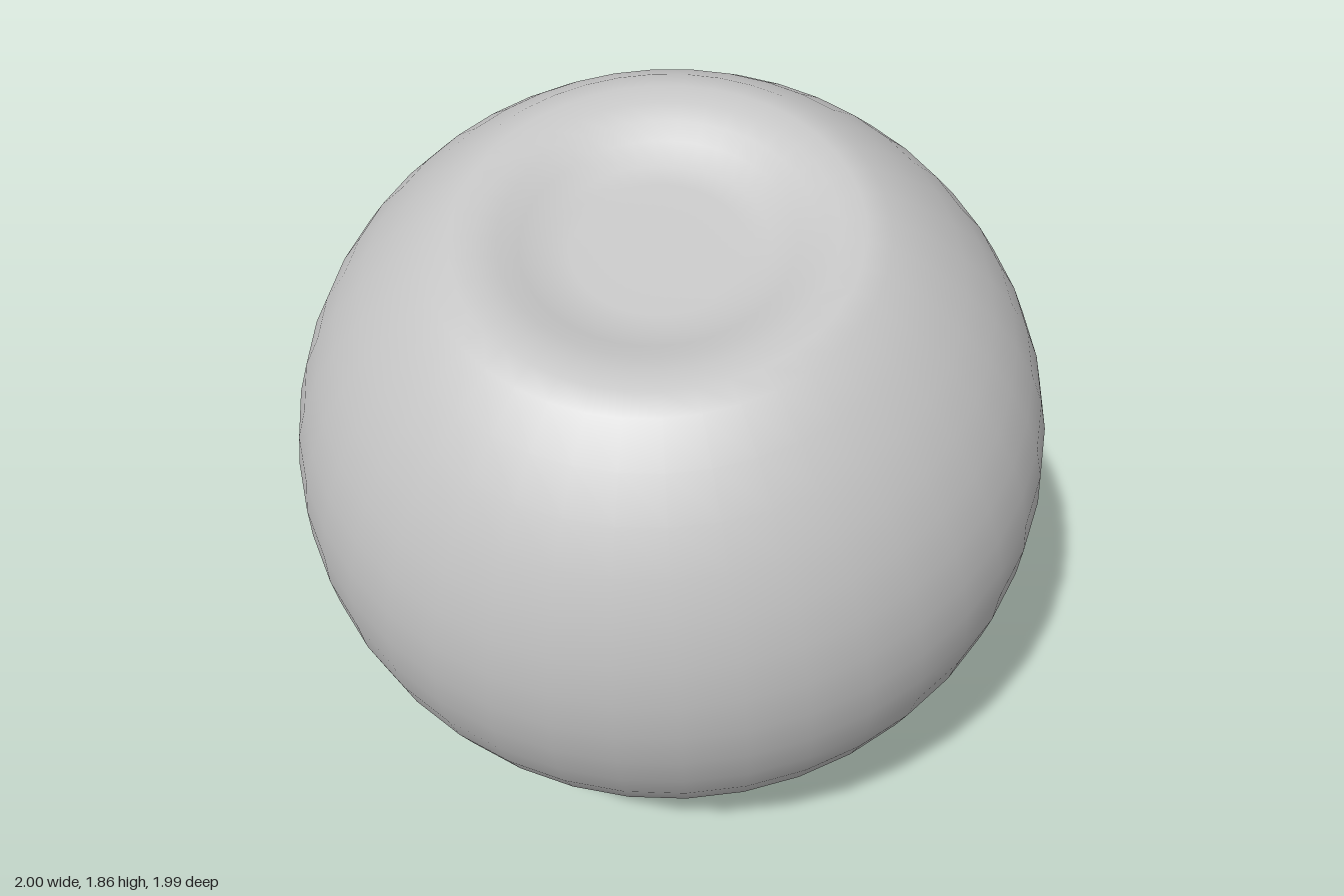
import * as THREE from 'three';

export function createModel() {
  const group = new THREE.Group();
  group.name = 'dimpledBall';
  const grey = new THREE.MeshStandardMaterial({ color: 0xc4c4c4 });
  grey.name = 'grey';

  // Profile from the bottom pole to the dimple floor
  const profile = [[0, -0.967], [0.025, -0.957], [0.06, -0.944]]; // small nub at the pole
  const steps = 20;
  const start = -Math.PI / 2 + 0.14;
  const end = Math.acos(0.55);
  for (let i = 0; i <= steps; i++) {
    const a = start + (end - start) * i / steps;
    profile.push([Math.cos(a), Math.sin(a) * (a < 0 ? 0.945 : 0.935)]);
  }
  // Rounded rim, sloping wall and flat floor of the dimple
  profile.push([0.49, 0.796], [0.43, 0.793], [0.38, 0.78], [0.33, 0.758],
    [0.27, 0.733], [0.21, 0.725], [0.1, 0.724], [0, 0.724]);

  const geometry = new THREE.LatheGeometry(profile.map(([r, y]) => new THREE.Vector2(r, y)), 40);
  const body = new THREE.Mesh(geometry, grey);
  body.name = 'body';
  body.rotation.x = THREE.MathUtils.degToRad(18); // dimple leans to the front
  body.position.y = 0.95;
  group.add(body);
  return group;
}
